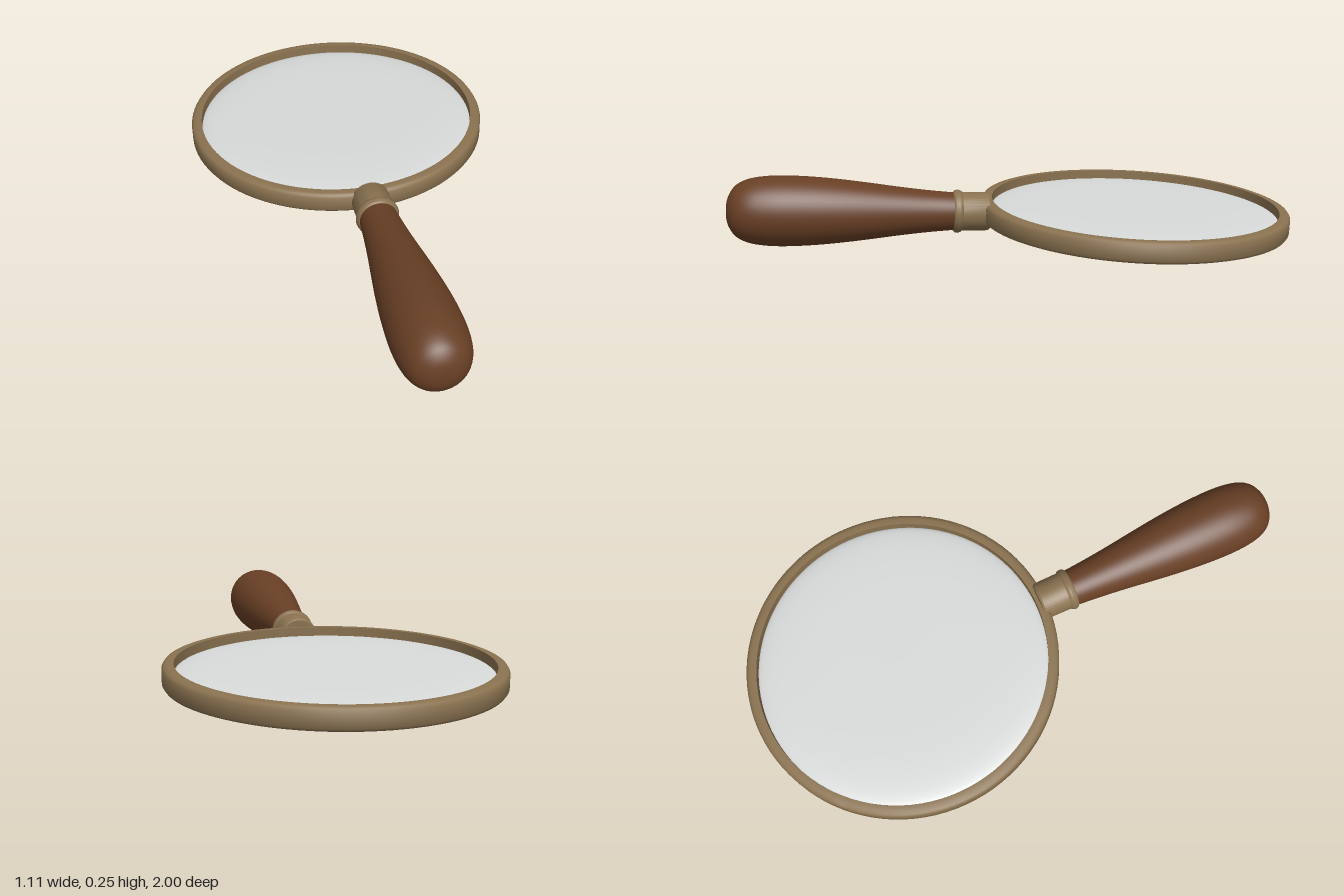
import * as THREE from 'three';
import { toCreasedNormals } from 'three/addons/utils/BufferGeometryUtils.js';

const brass = new THREE.MeshStandardMaterial({ color: 0x8a7250 });
brass.name = 'agedBrass';
const wood = new THREE.MeshStandardMaterial({ color: 0x683f25 });
wood.name = 'darkWood';
const glass = new THREE.MeshStandardMaterial({ color: 0xd8dbda });
glass.name = 'paleGlass';

// Turned part from [radius, height] pairs
function turned(name, profile, material, segments, crease) {
  const points = profile.map(([r, y]) => new THREE.Vector2(r, y));
  let geometry = new THREE.LatheGeometry(points, segments);
  if (crease) geometry = toCreasedNormals(geometry, crease);
  const mesh = new THREE.Mesh(geometry, material);
  mesh.name = name;
  return mesh;
}

export function createModel() {
  const model = new THREE.Group();
  model.name = 'magnifyingGlass';

  // Everything shares one axis, tipped so the handle end lies higher
  const body = new THREE.Group();
  body.name = 'tiltedBody';
  body.rotation.x = -0.043;
  body.position.y = 0.0905;
  model.add(body);

  // Lens frame: a hoop with softened outer edges
  const frame = turned('lensFrame', [
    [0.517, -0.037], [0.538, -0.037], [0.549, -0.033], [0.555, -0.024],
    [0.555, 0.024], [0.549, 0.033], [0.538, 0.037], [0.517, 0.037],
    [0.517, -0.037],
  ], brass, 96, 0.7);
  frame.position.z = -0.445;
  body.add(frame);

  // Lens: nearly flat faces that curve down at the rim
  const lensProfile = [];
  const steps = 28;
  for (let i = 0; i <= steps; i++) {
    const a = -Math.PI / 2 + (i / steps) * Math.PI;
    const r = 0.518 * Math.pow(Math.max(0, Math.cos(a)), 0.35);
    lensProfile.push([i === 0 || i === steps ? 0 : r, 0.022 * Math.sin(a)]);
  }
  const lens = turned('lens', lensProfile, glass, 96);
  lens.position.z = -0.445;
  body.add(lens);

  // Ferrule joining the frame to the handle, with a raised bead
  const ferrule = turned('ferrule', [
    [0, 0.085], [0.062, 0.085], [0.068, 0.092], [0.069, 0.185],
    [0.074, 0.19], [0.077, 0.2], [0.075, 0.21], [0.068, 0.216], [0, 0.216],
  ], brass, 40, 0.7);
  ferrule.rotation.x = Math.PI / 2;
  body.add(ferrule);

  // Handle: slim neck swelling to a rounded butt
  const curve = new THREE.SplineCurve([
    [0.066, 0.205], [0.074, 0.3], [0.085, 0.4], [0.098, 0.5], [0.11, 0.6],
    [0.119, 0.7], [0.123, 0.8], [0.12, 0.87], [0.11, 0.925], [0.09, 0.965],
    [0.06, 0.988], [0.03, 0.998], [0, 1.0],
  ].map(([r, y]) => new THREE.Vector2(r, y)));
  const handleProfile = curve.getPoints(48).map((p) => [Math.max(0, p.x), p.y]);
  const handle = turned('handle', handleProfile, wood, 48);
  handle.rotation.x = Math.PI / 2;
  body.add(handle);

  return model;
}
